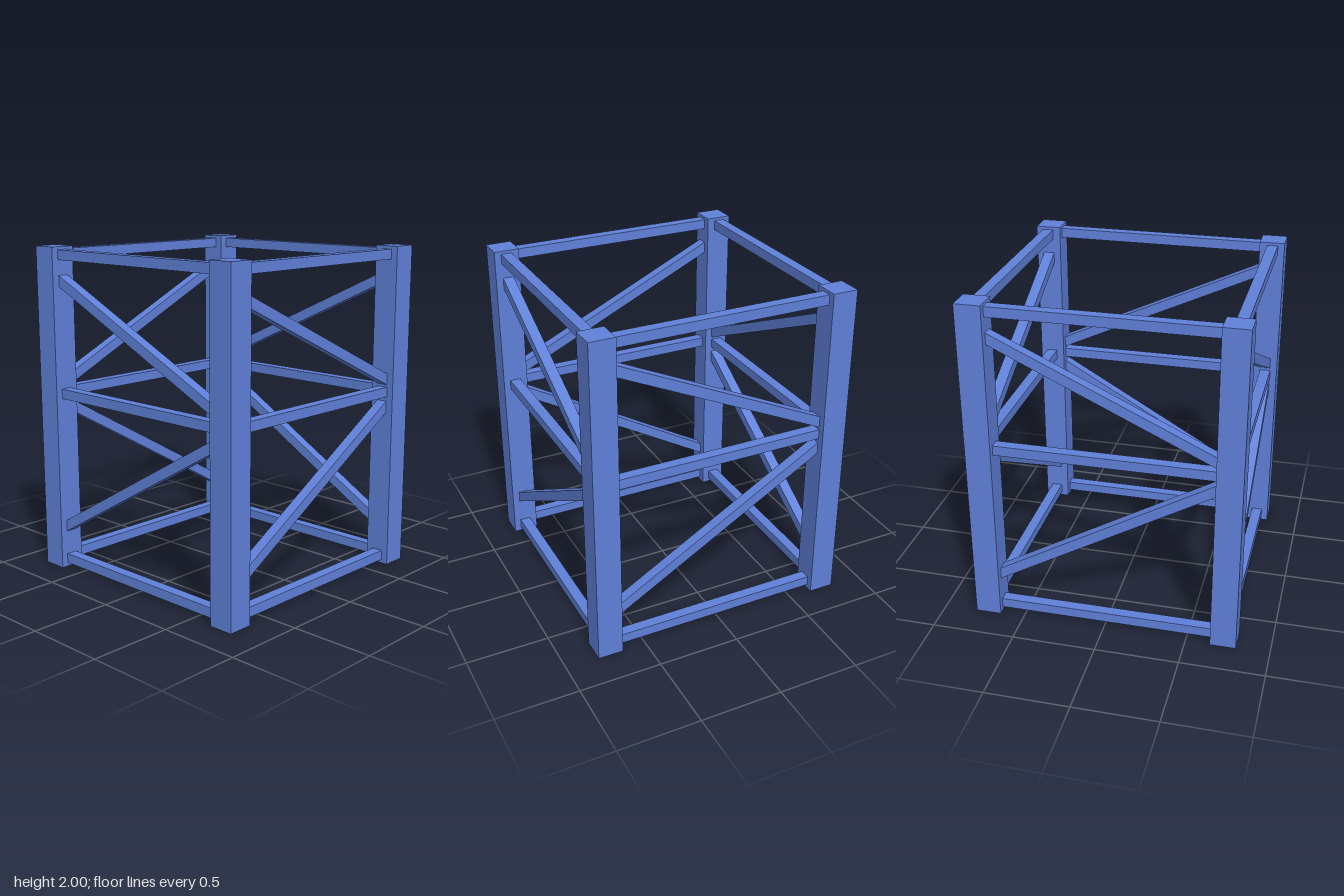
import * as THREE from 'three';

const HALF = 0.8;          // half the tower width
const POST = 0.154;        // corner post thickness
const MID = HALF - POST / 2; // centre line of the posts and beams
const BAR = 0.06;          // beam height
const DEPTH = 0.066;       // beam depth
const REACH = HALF - POST + 0.035; // beams run slightly into the posts

export function createModel() {
  const model = new THREE.Group();
  model.name = 'trussSegment';
  const material = new THREE.MeshStandardMaterial({ color: 0x5f80d8 });

  const addBox = (parent, name, size, position, tilt = 0) => {
    const mesh = new THREE.Mesh(new THREE.BoxGeometry(...size), material);
    mesh.name = name;
    mesh.position.set(...position);
    mesh.rotation.z = tilt;
    parent.add(mesh);
  };

  // Diagonal brace between two heights on the inner post faces
  const addBrace = (parent, name, yLeft, yRight) => {
    const tilt = Math.atan2(yRight - yLeft, 2 * (HALF - POST));
    const length = (2 * REACH) / Math.cos(tilt);
    addBox(parent, name, [length, 0.062, DEPTH], [0, (yLeft + yRight) / 2, MID], tilt);
  };

  // Four identical sides, each turned a quarter further
  for (let i = 0; i < 4; i++) {
    const side = new THREE.Group();
    side.name = ['front', 'left', 'back', 'right'][i] + 'Side';
    side.rotation.y = (i * Math.PI) / 2;

    addBox(side, 'cornerPost', [POST, 2, POST], [MID, 1, MID]);

    const levels = { bottomBeam: 0.053, middleBeam: 1.11, topBeam: 1.952 };
    for (const [name, y] of Object.entries(levels)) {
      addBox(side, name, [2 * REACH, BAR, DEPTH], [0, y, MID + 0.003]);
    }

    addBrace(side, 'upperBrace', 1.795, 1.19);
    addBrace(side, 'lowerBrace', 0.267, 1.016);
    model.add(side);
  }
  return model;
}
